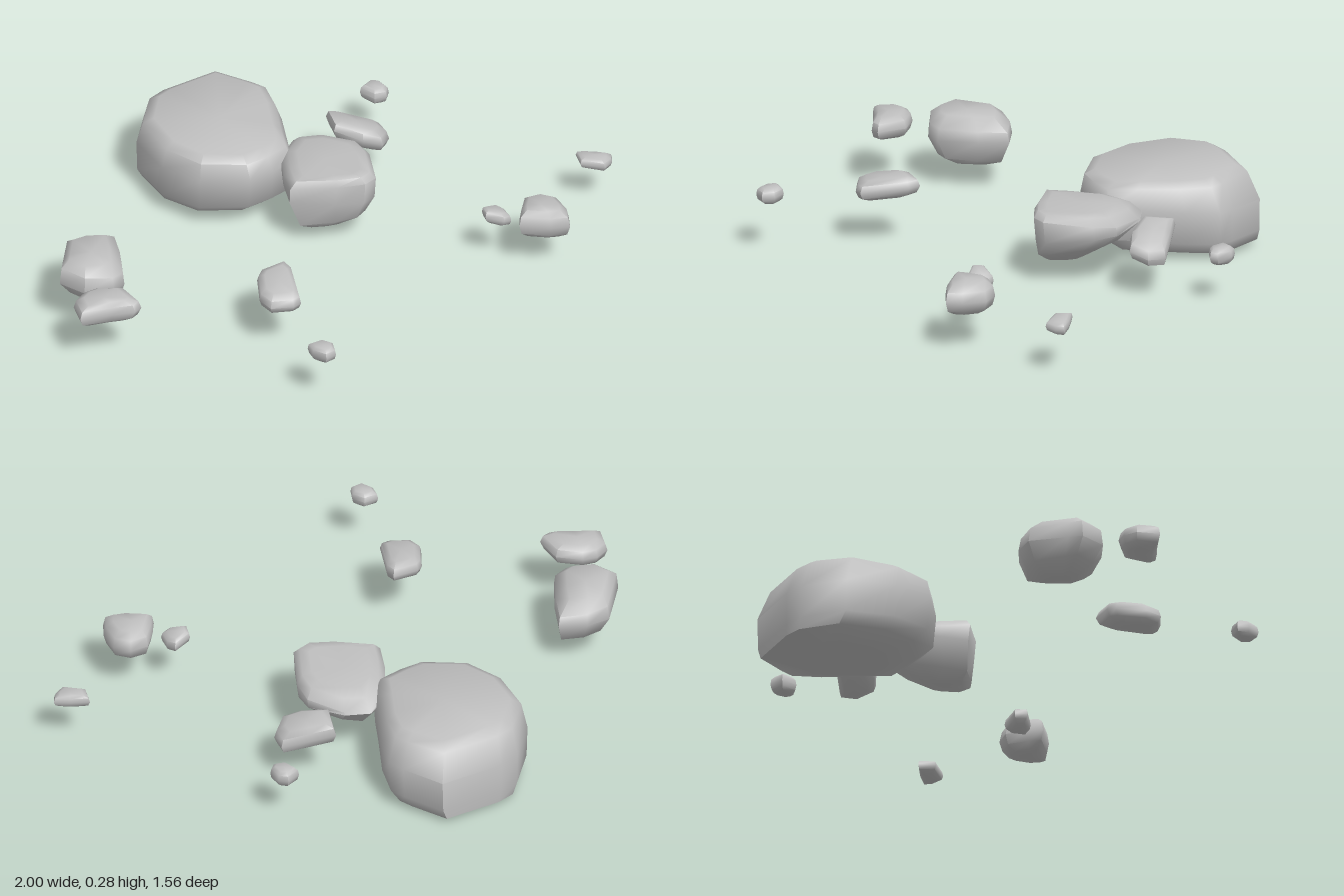
import * as THREE from 'three';
import { toCreasedNormals } from 'three/addons/utils/BufferGeometryUtils.js';

const stone = new THREE.MeshStandardMaterial({ color: 0xbfbfbf });
stone.name = 'grey stone';

// Rock from a plan outline [x, z] (clockwise from above) and layers, bottom to top:
// [height, scale, shiftX, shiftZ, slopeX, slopeZ]
function rock(name, outline, layers) {
  const n = outline.length;
  const mid = (k) => {
    const v = outline.map((p) => p[k]);
    return (Math.min(...v) + Math.max(...v)) / 2;
  };
  const cx = mid(0), cz = mid(1);
  const pos = [], index = [];
  for (const [y, s, dx = 0, dz = 0, sx = 0, sz = 0] of layers) {
    for (const [px, pz] of outline) {
      const x = (px - cx) * s + dx, z = (pz - cz) * s + dz;
      pos.push(cx + x, y + x * sx + z * sz, cz + z);
    }
  }
  for (let j = 0; j < layers.length - 1; j++) {
    for (let i = 0; i < n; i++) {
      const k = (i + 1) % n;
      const a = j * n + i, b = j * n + k, c = a + n, d = b + n;
      index.push(b, a, c, b, c, d);
    }
  }
  // Close the underside and the top
  const first = layers[0], last = layers[layers.length - 1];
  const bottom = pos.length / 3, top = bottom + 1;
  for (const [y, , dx = 0, dz = 0, sx = 0, sz = 0] of [first, last]) {
    pos.push(cx + dx, y + dx * sx + dz * sz, cz + dz);
  }
  const upper = (layers.length - 1) * n;
  for (let i = 0; i < n; i++) {
    const k = (i + 1) % n;
    index.push(bottom, i, k, top, upper + k, upper + i);
  }
  const geo = new THREE.BufferGeometry();
  geo.setAttribute('position', new THREE.Float32BufferAttribute(pos, 3));
  geo.setIndex(index);
  const mesh = new THREE.Mesh(toCreasedNormals(geo, 1.0), stone);
  mesh.name = name;
  return mesh;
}

// Flat pebble layers between two heights, leaning along x and z
function pebble(low, high, sx = 0, sz = 0) {
  const h = high - low;
  return [
    [low, 0.6, 0, 0, sx, sz],
    [low + h * 0.18, 0.9, 0, 0, sx, sz],
    [low + h * 0.5, 1, 0, 0, sx, sz],
    [low + h * 0.82, 0.92, 0, 0, sx, sz],
    [high, 0.65, 0, 0, sx, sz],
  ];
}

export function createModel() {
  const group = new THREE.Group();
  group.name = 'scatteredRocks';
  group.add(
    // Large boulder at the back
    rock('largeBoulder', [
      [-0.2, -0.76], [-0.13, -0.78], [0.09, -0.785], [0.17, -0.66], [0.195, -0.61], [0.17, -0.5],
      [0.11, -0.36], [0.07, -0.26], [-0.02, -0.24], [-0.11, -0.235], [-0.25, -0.32], [-0.31, -0.46], [-0.3, -0.64],
    ], [
      [0.0, 0.5, 0, -0.03],
      [0.03, 0.88, 0, -0.03, 0, 0.04],
      [0.07, 0.98, 0, -0.005, 0, 0.05],
      [0.18, 1, 0, 0, 0, 0.05],
      [0.255, 0.91, -0.01, 0.01, 0, -0.02],
      [0.275, 0.78, -0.01, 0.01, 0, -0.035],
    ]),
    // Medium boulder leaning against it, tapering below
    rock('mediumBoulder', [
      [0.13, -0.365], [0.21, -0.33], [0.29, -0.22], [0.285, -0.14], [0.22, 0.01],
      [0.17, 0.025], [0.08, -0.01], [-0.05, -0.09], [-0.02, -0.18], [0.04, -0.3],
    ], [
      [0.06, 0.35, -0.03, 0.06, 0.12, 0],
      [0.105, 0.75, -0.005, 0.03, 0.2, -0.08],
      [0.175, 0.98, 0, 0, 0, -0.1],
      [0.215, 0.99, 0, 0.005, 0, 0.1],
      [0.242, 0.85, 0, 0.015, 0, 0.07],
      [0.25, 0.65, 0, 0.02, 0, 0.03],
    ]),
    // Boulder on the far right-hand side
    rock('sideBoulder', [
      [-0.82, -0.225], [-0.74, -0.225], [-0.655, -0.185], [-0.69, -0.09], [-0.75, 0.03],
      [-0.8, 0.045], [-0.89, 0.01], [-0.93, -0.08], [-0.9, -0.12],
    ], [
      [0.08, 0.4, 0.02, 0],
      [0.11, 0.78, 0.01, 0, -0.1, 0],
      [0.17, 1],
      [0.215, 0.95, 0, 0, -0.1, 0],
      [0.247, 0.65, -0.01, 0, -0.04, 0],
    ]),
    rock('sideStone', [
      [-0.93, 0.065], [-0.88, 0.07], [-0.805, 0.12], [-0.8, 0.22], [-0.83, 0.23],
      [-0.9, 0.2], [-1.0, 0.165], [-0.98, 0.09],
    ], pebble(0.16, 0.24, 0.06)),
    rock('frontStone', [
      [-0.37, 0.26], [-0.28, 0.26], [-0.275, 0.3], [-0.33, 0.45], [-0.36, 0.455],
      [-0.43, 0.425], [-0.44, 0.37], [-0.395, 0.28],
    ], pebble(0.165, 0.235, 0.05, -0.1)),
    rock('frontPebble', [
      [-0.45, 0.69], [-0.4, 0.69], [-0.375, 0.73], [-0.39, 0.77], [-0.43, 0.775], [-0.455, 0.73],
    ], pebble(0.172, 0.225)),
    rock('leaningStone', [
      [0.29, -0.42], [0.36, -0.38], [0.445, -0.33], [0.44, -0.27], [0.39, -0.225], [0.33, -0.25], [0.26, -0.32],
    ], pebble(0.135, 0.215, -0.35)),
    rock('backPebble', [
      [0.48, -0.52], [0.53, -0.54], [0.555, -0.52], [0.56, -0.47], [0.54, -0.45], [0.5, -0.46],
    ], pebble(0.138, 0.195)),
    rock('leftStone', [
      [0.59, 0.33], [0.65, 0.335], [0.69, 0.38], [0.685, 0.46], [0.66, 0.51], [0.6, 0.49], [0.515, 0.43], [0.54, 0.39],
    ], pebble(0.127, 0.232, -0.05)),
    rock('leftPebble', [
      [0.45, 0.3], [0.51, 0.29], [0.525, 0.32], [0.52, 0.37], [0.49, 0.375], [0.44, 0.34],
    ], pebble(0.155, 0.205, -0.3)),
    rock('outerPebble', [
      [0.895, 0.155], [0.95, 0.185], [0.995, 0.22], [0.98, 0.245], [0.94, 0.265], [0.88, 0.21],
    ], pebble(0.143, 0.187, -0.08)),
  );
  return group;
}
